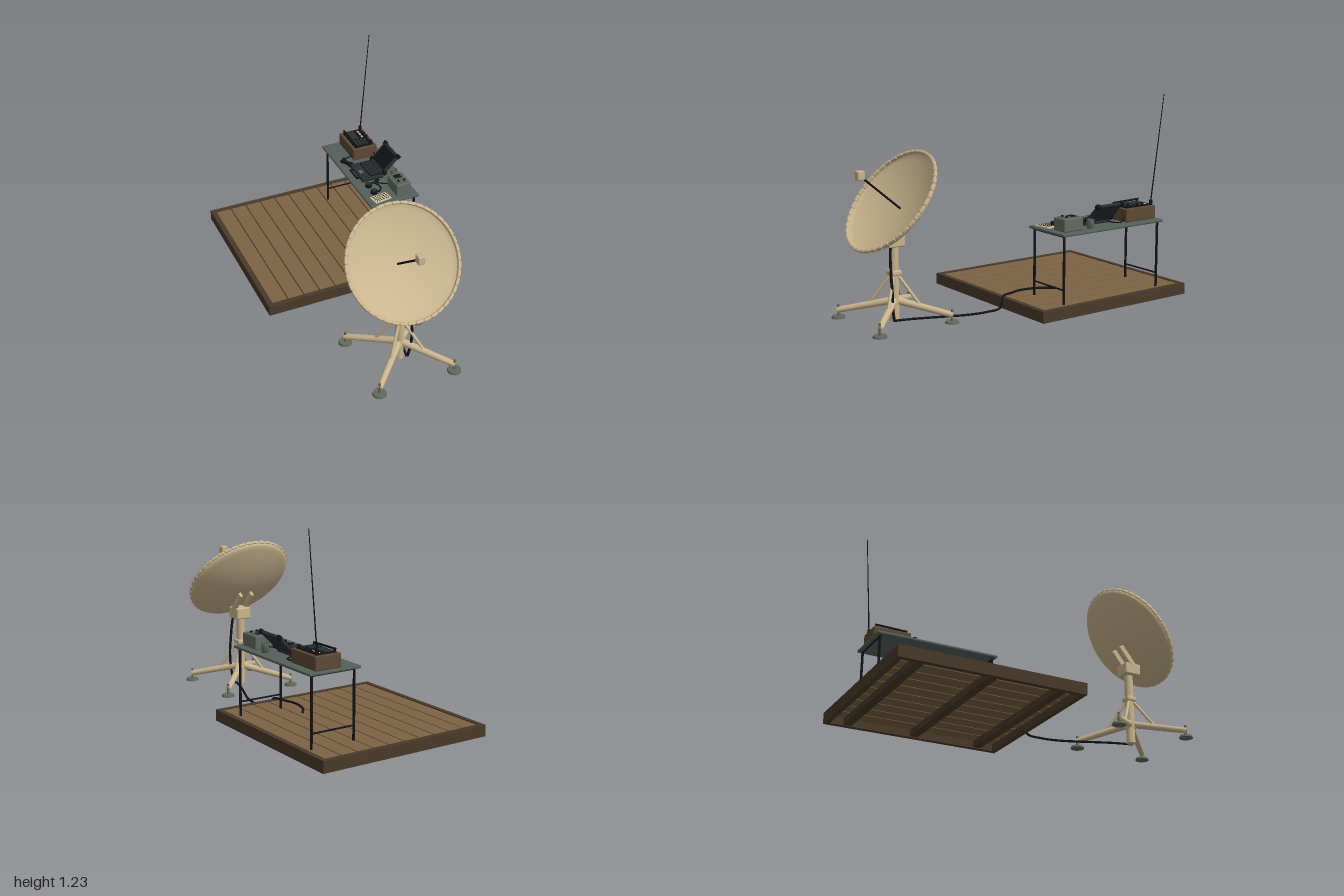
import * as THREE from 'three';
import { RoundedBoxGeometry } from 'three/addons/geometries/RoundedBoxGeometry.js';

const V = (x, y, z) => new THREE.Vector3(x, y, z);

function makeMaterial(name, color, side = THREE.FrontSide) {
  const m = new THREE.MeshStandardMaterial({ color, side });
  m.name = name;
  return m;
}
const M = {
  tan: makeMaterial('tan paint', 0xc8b48e, THREE.DoubleSide),
  plank: makeMaterial('plank wood', 0x7c6344),
  frame: makeMaterial('dark timber', 0x483a29),
  green: makeMaterial('grey green table', 0x55605a),
  black: makeMaterial('black', 0x131416),
  brown: makeMaterial('brown case', 0x5e4935),
  grey: makeMaterial('equipment grey', 0x62695f),
  slate: makeMaterial('laptop slate', 0x2a2f33),
  cream: makeMaterial('cream', 0xcdbd9a),
};

function add(parent, name, geo, mat, x = 0, y = 0, z = 0) {
  const mesh = new THREE.Mesh(geo, mat);
  mesh.name = name;
  mesh.position.set(x, y, z);
  parent.add(mesh);
  return mesh;
}
const box = (p, n, mat, w, h, d, x, y, z) => add(p, n, new THREE.BoxGeometry(w, h, d), mat, x, y, z);
const round = (p, n, mat, w, h, d, r, x, y, z) => add(p, n, new RoundedBoxGeometry(w, h, d, 2, r), mat, x, y, z);
const cyl = (p, n, mat, r, h, x, y, z, rTop = r) =>
  add(p, n, new THREE.CylinderGeometry(rTop, r, h, 20), mat, x, y, z);

// Round bar from a to b
function rod(p, n, mat, a, b, r0, r1 = r0) {
  const dir = b.clone().sub(a);
  const mid = a.clone().lerp(b, 0.5);
  const m = cyl(p, n, mat, r0, dir.length(), mid.x, mid.y, mid.z, r1);
  m.quaternion.setFromUnitVectors(V(0, 1, 0), dir.normalize());
  return m;
}
function cable(p, n, pts, r, segs = 48) {
  const curve = new THREE.CatmullRomCurve3(pts.map(q => V(...q)));
  return add(p, n, new THREE.TubeGeometry(curve, segs, r, 8), M.black);
}
function group(parent, name, x = 0, y = 0, z = 0) {
  const g = new THREE.Group();
  g.name = name;
  g.position.set(x, y, z);
  parent.add(g);
  return g;
}

function buildDeck(root) {
  const g = group(root, 'deck', 0, 0, -0.455);
  for (let i = 0; i < 10; i++)
    box(g, 'plank', M.plank, 0.096, 0.02, 1.03, -0.466 + i * 0.1033, 0.053, 0);
  for (const s of [-1, 1]) {
    box(g, 'endBoard', M.frame, 1.095, 0.067, 0.03, 0, 0.0335, s * 0.53);
    box(g, 'sideBoard', M.frame, 0.03, 0.067, 1.03, s * 0.5325, 0.0335, 0);
  }
  for (const z of [-0.41, 0, 0.41]) box(g, 'joist', M.frame, 1.035, 0.038, 0.05, 0, 0.024, z);
}

function buildTable(root) {
  const g = group(root, 'table', 0.355, 0, -0.455);
  round(g, 'tableTop', M.green, 0.327, 0.016, 0.762, 0.006, 0, 0.471, 0);
  for (const z of [-0.355, 0.358]) {
    for (const x of [-0.135, 0.137]) cyl(g, 'tableLeg', M.black, 0.0075, 0.4, x, 0.266, z);
    rod(g, 'endStretcher', M.black, V(-0.135, 0.15, z), V(0.137, 0.15, z), 0.005);
    rod(g, 'topRail', M.black, V(-0.135, 0.459, z), V(0.137, 0.459, z), 0.005);
  }
}

function buildDish(root) {
  // Local +y points along the beam
  const g = group(root, 'dish', 0, 0.635, 0.676);
  g.rotation.x = 0.881;
  const back = [], front = [];
  for (let i = 0; i <= 14; i++) {
    const r = 0.318 * i / 14, h = 0.064 * (i / 14) ** 2;
    back.push(new THREE.Vector2(r, h - 0.008));
    front.unshift(new THREE.Vector2(r, h));
  }
  const lip = [[0.328, 0.066], [0.332, 0.084], [0.326, 0.084], [0.322, 0.072]].map(q => new THREE.Vector2(...q));
  add(g, 'reflector', new THREE.LatheGeometry([...back, ...lip, ...front], 64), M.tan);
  // Segmented rim
  const n = 44;
  add(g, 'rim', new THREE.TorusGeometry(0.327, 0.0075, 8, 64), M.tan, 0, 0.082, 0).rotation.x = Math.PI / 2;
  for (let i = 0; i < n; i++) {
    const a = i / n * Math.PI * 2;
    const clip = round(g, 'rimSegment', M.tan, 0.018, 0.02, 0.04, 0.005,
      Math.cos(a) * 0.327, 0.082, Math.sin(a) * 0.327);
    clip.rotation.y = -a;
  }
  rod(g, 'feedRod', M.black, V(0, -0.002, 0), V(0, 0.32, 0), 0.006);
  round(root, 'feedHorn', M.tan, 0.042, 0.052, 0.045, 0.008, 0, 0.844, 0.926);
}

function buildStand(root) {
  const g = group(root, 'stand', 0, 0, 0.722);
  cyl(g, 'mast', M.tan, 0.026, 0.44, 0, 0.22, 0);
  round(g, 'collar', M.tan, 0.068, 0.03, 0.066, 0.009, 0, 0.277, 0);
  cyl(g, 'hub', M.tan, 0.033, 0.04, 0, 0.11, 0);
  round(g, 'mountHead', M.tan, 0.1, 0.072, 0.105, 0.009, 0, 0.465, 0.006);
  for (const s of [-1, 1]) {
    const arm = round(g, 'yokeArm', M.tan, 0.022, 0.15, 0.036, 0.006, s * 0.04, 0.54, -0.03);
    arm.rotation.x = -0.67;
  }
  for (const sx of [-1, 1]) for (const sz of [-1, 1]) {
    const at = (r, y) => V(sx * r, y, sz * r);
    rod(g, 'tripodLeg', M.tan, at(0.015, 0.115), at(0.235, 0.046), 0.021, 0.017);
    rod(g, 'brace', M.tan, at(0.014, 0.265), at(0.105, 0.092), 0.009);
    cyl(g, 'levelScrew', M.grey, 0.007, 0.078, sx * 0.232, 0.04, sz * 0.232);
    cyl(g, 'footPad', M.grey, 0.041, 0.013, sx * 0.232, 0.0065, sz * 0.232, 0.037);
  }
}

function buildRadio(root) {
  const g = group(root, 'fieldRadio', 0.388, 0.479, -0.7);
  round(g, 'radioCase', M.brown, 0.163, 0.08, 0.232, 0.006, 0, 0.04, 0);
  box(g, 'radioPanel', M.black, 0.125, 0.008, 0.195, 0, 0.082, 0);
  box(g, 'radioDisplay', M.slate, 0.058, 0.006, 0.09, -0.025, 0.087, -0.042);
  for (let i = 0; i < 3; i++) box(g, 'labelStrip', M.cream, 0.012, 0.004, 0.02, 0.032, 0.086, -0.07 + i * 0.03);
  for (let i = 0; i < 4; i++) for (let j = 0; j < 4; j++)
    box(g, 'radioKey', M.slate, 0.014, 0.006, 0.012, -0.035 + i * 0.021, 0.088, 0.024 + j * 0.018);
  for (const z of [-0.03, 0.01, 0.08]) cyl(g, 'knob', M.black, 0.009, 0.016, 0.053, 0.094, z);
  // Carrying bar over the panel
  for (const z of [-0.09, 0.095]) box(g, 'barPost', M.black, 0.01, 0.02, 0.01, -0.055, 0.09, z);
  rod(g, 'carryBar', M.black, V(-0.055, 0.1, -0.1), V(-0.055, 0.096, 0.1), 0.006);
  // Whip antenna
  cyl(g, 'antennaBase', M.black, 0.01, 0.03, 0.06, 0.096, -0.095);
  rod(g, 'antenna', M.black, V(0.06, 0.1, -0.095), V(0.127, 0.746, -0.118), 0.004, 0.0022);
}

function buildLaptop(root) {
  const g = group(root, 'ruggedLaptop', 0.325, 0.479, -0.427);
  round(g, 'laptopBase', M.slate, 0.145, 0.024, 0.195, 0.006, 0, 0.012, 0);
  box(g, 'keyboardBed', M.black, 0.075, 0.004, 0.165, 0.025, 0.025, 0);
  for (let i = 0; i < 4; i++) for (let j = 0; j < 10; j++)
    box(g, 'key', M.slate, 0.012, 0.004, 0.012, 0 + i * 0.016, 0.028, -0.07 + j * 0.0155);
  box(g, 'touchpad', M.grey, 0.022, 0.003, 0.035, -0.045, 0.025, 0.01);
  for (const s of [-1, 1]) rod(g, 'handleSide', M.black, V(-0.07, 0.012, s * 0.05), V(-0.09, 0.012, s * 0.05), 0.006);
  rod(g, 'handle', M.black, V(-0.09, 0.012, -0.053), V(-0.09, 0.012, 0.053), 0.006);
  // Tilted lid, hinged on the far edge
  const lid = group(g, 'lid', 0.07, 0.022, 0);
  lid.rotation.z = -0.78;
  round(lid, 'lidShell', M.slate, 0.018, 0.15, 0.19, 0.005, 0, 0.078, 0);
  box(lid, 'screen', M.black, 0.004, 0.115, 0.155, -0.009, 0.08, 0);
  for (const z of [-0.09, 0.09]) for (const y of [0.014, 0.146])
    round(lid, 'cornerBumper', M.black, 0.024, 0.026, 0.026, 0.005, 0, y, z);
}

function buildAccessories(root) {
  // Power unit
  const p = group(root, 'powerUnit', 0.43, 0.479, -0.178);
  round(p, 'unitCase', M.grey, 0.1, 0.077, 0.138, 0.007, 0, 0.0385, 0);
  box(p, 'unitPanel', M.green, 0.072, 0.005, 0.11, -0.002, 0.077, 0);
  box(p, 'unitDisplay', M.black, 0.045, 0.005, 0.035, -0.002, 0.08, -0.025);
  for (const x of [-0.02, 0.018]) cyl(p, 'unitKnob', M.black, 0.007, 0.01, x, 0.083, 0.03);

  // Mug with handle
  const mug = group(root, 'mug', 0.46, 0.479, -0.315);
  add(mug, 'mugBody', new THREE.LatheGeometry([[0, 0], [0.021, 0], [0.022, 0.052], [0.018, 0.052], [0.017, 0.01], [0, 0.01]]
    .map(q => new THREE.Vector2(...q)), 24), M.grey);
  add(mug, 'mugHandle', new THREE.TorusGeometry(0.013, 0.003, 6, 16), M.grey, -0.022, 0.027, 0);

  // Headset lying on the table
  const h = group(root, 'headset', 0.27, 0.479, -0.24);
  for (const z of [-0.04, 0.04]) {
    cyl(h, 'earCup', M.black, 0.021, 0.02, 0, 0.01, z);
    cyl(h, 'earPad', M.slate, 0.014, 0.004, 0, 0.021, z);
  }
  cable(h, 'headband', [[0, 0.012, -0.04], [0.035, 0.012, -0.05], [0.058, 0.012, 0], [0.035, 0.012, 0.046], [0, 0.012, 0.04]], 0.005);
  rod(h, 'microphoneBoom', M.black, V(0.005, 0.014, -0.045), V(0.07, 0.014, -0.065), 0.003);
  round(h, 'microphone', M.black, 0.024, 0.014, 0.018, 0.005, 0.07, 0.014, -0.062);

  // Handset and its cord
  const hs = group(root, 'handset', 0.252, 0.49, -0.565);
  hs.rotation.y = 0.4;
  round(hs, 'handsetGrip', M.black, 0.024, 0.018, 0.085, 0.006, 0, 0, 0);
  for (const z of [-0.032, 0.032]) round(hs, 'handsetEnd', M.black, 0.034, 0.022, 0.026, 0.006, 0, 0, z);
  cable(root, 'handsetCord', [[0.245, 0.486, -0.6], [0.255, 0.484, -0.635], [0.28, 0.486, -0.625], [0.312, 0.5, -0.62]], 0.004);

  // Number pad with dark keys
  const k = group(root, 'numberPad', 0.282, 0.479, -0.13);
  k.rotation.y = 0.14;
  round(k, 'padBase', M.cream, 0.115, 0.009, 0.072, 0.003, 0, 0.0045, 0);
  for (let i = 0; i < 6; i++) for (let j = 0; j < 4; j++)
    box(k, 'padKey', M.black, 0.007, 0.003, 0.006, -0.04 + i * 0.016, 0.0095, -0.022 + j * 0.015);

  // Table leads
  cable(root, 'radioLead', [[0.445, 0.51, -0.585], [0.455, 0.486, -0.56], [0.45, 0.485, -0.52], [0.39, 0.488, -0.5]], 0.004);
  cable(root, 'powerLead', [[0.37, 0.49, -0.34], [0.33, 0.484, -0.31], [0.36, 0.484, -0.27], [0.41, 0.49, -0.24]], 0.004);
}

function buildCables(root) {
  cable(root, 'mastCable', [[0.025, 0.47, 0.75], [0.034, 0.41, 0.765], [0.045, 0.3, 0.77], [0.054, 0.18, 0.768],
    [0.048, 0.08, 0.762], [0.04, 0.012, 0.75]], 0.008);
  cable(root, 'groundCable', [[0.035, 0.01, 0.755], [0.06, 0.008, 0.64], [0.11, 0.008, 0.51], [0.175, 0.008, 0.34],
    [0.19, 0.008, 0.22], [0.168, 0.012, 0.11], [0.158, 0.07, 0.085], [0.13, 0.074, 0],
    [0.108, 0.073, -0.08], [0.135, 0.073, -0.2], [0.195, 0.073, -0.28]], 0.007, 90);
}

export function createModel() {
  const root = new THREE.Group();
  root.name = 'fieldStation';
  for (const build of [buildDeck, buildTable, buildDish, buildStand, buildRadio, buildLaptop, buildAccessories, buildCables])
    build(root);
  return root;
}
